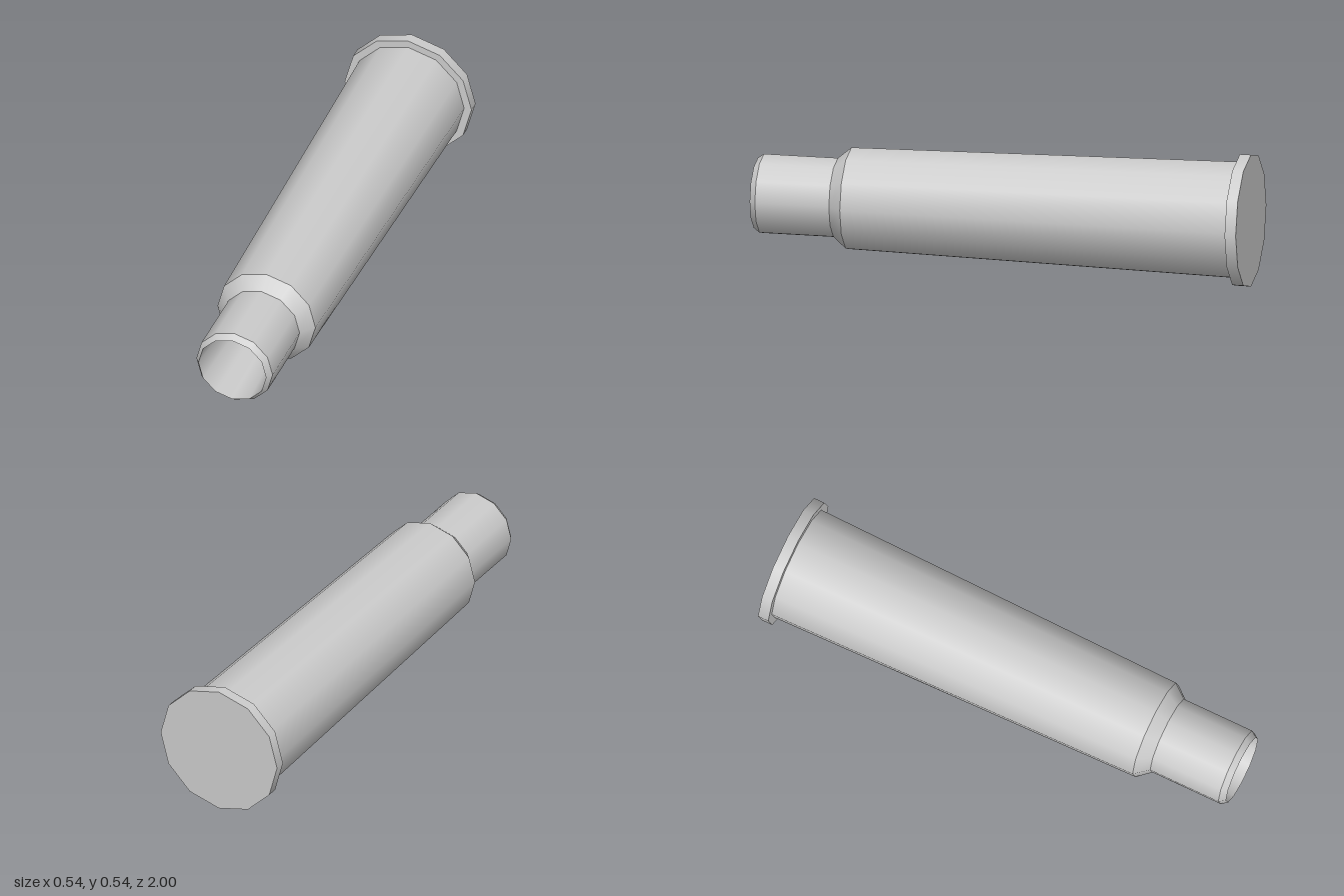
import * as THREE from 'three';
import { mergeGeometries } from 'three/addons/utils/BufferGeometryUtils.js';

const SIDES = 12;
const AXIS_Y = 0.268;

// One turned part along z: each [radius, z] pair forms a band, smooth around, sharp between bands
function turned(name, profile, material) {
  const bands = [];
  for (let i = 0; i < profile.length - 1; i++) {
    const points = [profile[i], profile[i + 1]].map(([r, z]) => new THREE.Vector2(r, z));
    bands.push(new THREE.LatheGeometry(points, SIDES));
  }
  const geometry = mergeGeometries(bands);
  geometry.rotateX(Math.PI / 2);
  const mesh = new THREE.Mesh(geometry, material);
  mesh.name = name;
  mesh.position.y = AXIS_Y;
  return mesh;
}

export function createModel() {
  const material = new THREE.MeshStandardMaterial({ color: 0xcccccc });
  const group = new THREE.Group();
  group.name = 'taperedCase';

  group.add(
    // Flat closed base with a projecting rim
    turned('rim', [[0, -1], [0.268, -1], [0.268, -0.955], [0.237, -0.955]], material),
    // Long body narrowing toward the front
    turned('body', [[0.237, -0.955], [0.207, 0.62]], material),
    // Sloped step down to the neck
    turned('shoulder', [[0.207, 0.62], [0.161, 0.675]], material),
    // Straight neck with a bevelled lip
    turned('neck', [[0.161, 0.675], [0.161, 0.975], [0.143, 1]], material),
    // Hollow mouth, narrowing to a closed floor
    turned('mouth', [[0.143, 1], [0.122, 0.65], [0.083, 0.6], [0, 0.6]], material),
  );
  return group;
}
